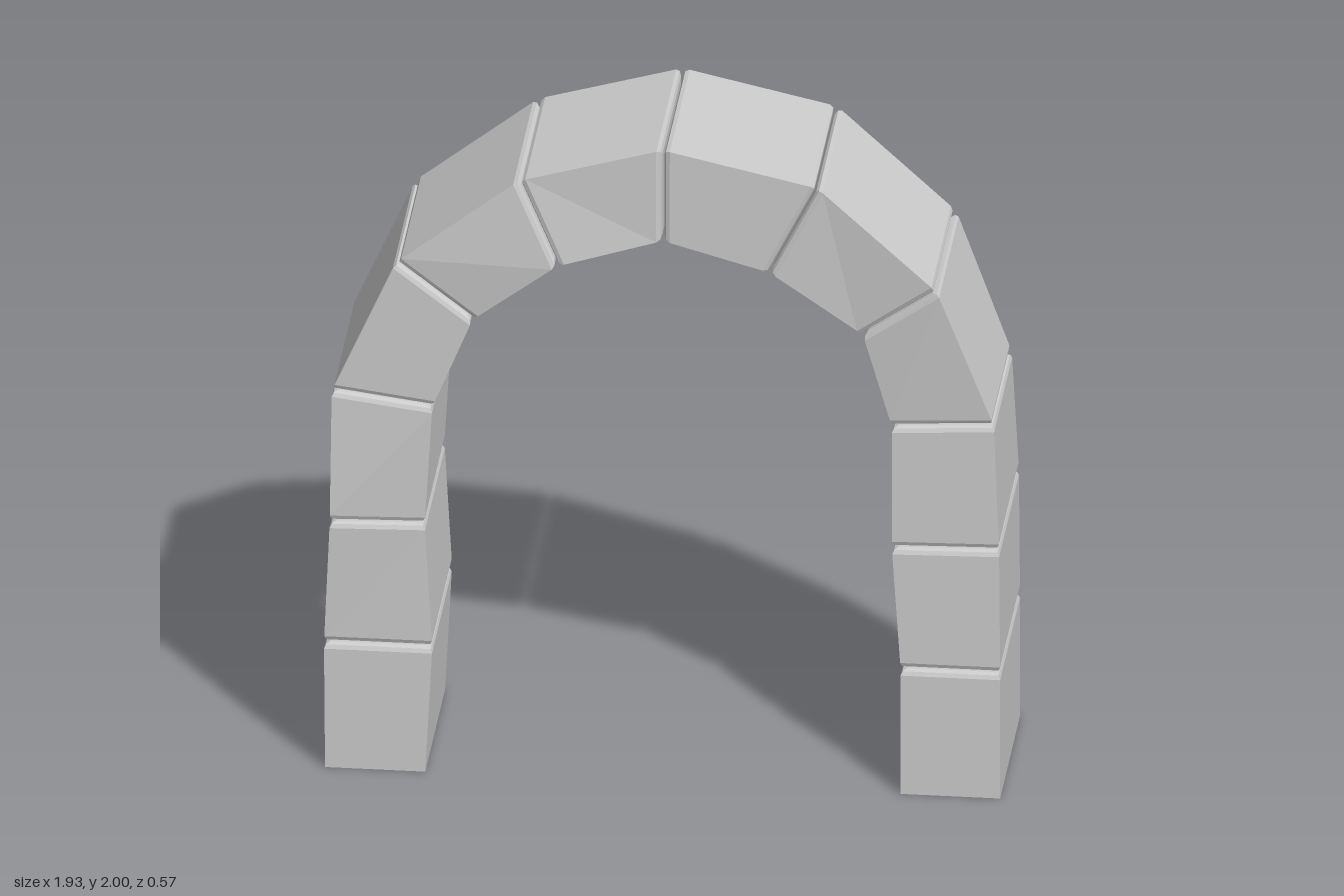
import * as THREE from 'three';

const FRONT = 0.25, BACK = -0.285;
const BEVEL = 0.017, GAP = 0.003;

// Joints from the left foot, over the crown, to the right foot:
// outer x, y, inner x, y, then shifts of the stone corners in z
const JOINTS = [
  { o: [-0.967, 0], i: [-0.68, 0] },
  { o: [-0.97, 0.395], i: [-0.66, 0.395] },
  { o: [-0.952, 0.785], i: [-0.682, 0.785], of: 0.015 },
  { o: [-0.948, 1.195], i: [-0.66, 1.157] },
  { o: [-0.765, 1.61], i: [-0.545, 1.44] },
  { o: [-0.413, 1.887], i: [-0.3, 1.635], if: 0.027 },
  { o: [0, 2.005], i: [0, 1.718] },
  { o: [0.442, 1.907], i: [0.305, 1.633] },
  { o: [0.787, 1.613], i: [0.572, 1.45], of: 0.035, ob: 0.04 },
  { o: [0.947, 1.18], i: [0.655, 1.163], ob: 0.05 },
  { o: [0.962, 0.785], i: [0.655, 0.778] },
  { o: [0.965, 0.395], i: [0.68, 0.395] },
  { o: [0.965, 0], i: [0.68, 0] },
];

// Four corners of a joint: outer front, inner front, inner back, outer back
function corners({ o, i, of = 0, if: inf = 0, ob = 0 }) {
  return [
    new THREE.Vector3(...o, FRONT + of),
    new THREE.Vector3(...i, FRONT + inf),
    new THREE.Vector3(...i, BACK),
    new THREE.Vector3(...o, BACK + ob),
  ];
}

// Rings at one end of a stone, from its end face to its full section
function endRings(ring, other) {
  const across = ring[1].clone().sub(ring[0]).normalize();
  const steps = [[GAP, BEVEL], [GAP + BEVEL * 0.3, BEVEL * 0.3], [GAP + BEVEL, 0]];
  return steps.map(([along, inset]) => ring.map((p, k) => {
    const q = p.clone().addScaledVector(other[k].clone().sub(p).normalize(), along);
    q.addScaledVector(across, k === 0 || k === 3 ? inset : -inset);
    q.z += k < 2 ? -inset : inset;
    return q;
  }));
}

function stoneGeometry(a, b, openStart, openEnd) {
  const start = openStart ? [a] : endRings(a, b);
  const end = openEnd ? [b] : endRings(b, a).reverse();
  const rings = [...start, ...end];
  const points = [];
  const quad = (p, q, r, s) => points.push(p, q, r, p, r, s);
  for (let n = 0; n < rings.length - 1; n++) {
    for (let k = 0; k < 4; k++) {
      const m = (k + 1) % 4;
      quad(rings[n][k], rings[n][m], rings[n + 1][m], rings[n + 1][k]);
    }
  }
  if (!openStart) quad(...[...rings[0]].reverse());
  if (!openEnd) quad(...rings[rings.length - 1]);
  const geometry = new THREE.BufferGeometry().setFromPoints(points);
  geometry.computeVertexNormals();
  return geometry;
}

export function createModel() {
  const group = new THREE.Group();
  group.name = 'stoneArch';
  const material = new THREE.MeshStandardMaterial({
    color: 0xcccccc, flatShading: true, side: THREE.DoubleSide,
  });
  const last = JOINTS.length - 2;
  // The two foot stones are open underneath
  for (let n = 0; n <= last; n++) {
    const stone = new THREE.Mesh(
      stoneGeometry(corners(JOINTS[n]), corners(JOINTS[n + 1]), n === 0, n === last),
      material,
    );
    const side = n <= last / 2 ? 'right' : 'left';
    const level = Math.min(n, last - n);
    stone.name = `${side}${level < 3 ? 'PillarStone' : 'ArchStone'}${level + 1}`;
    group.add(stone);
  }
  return group;
}
